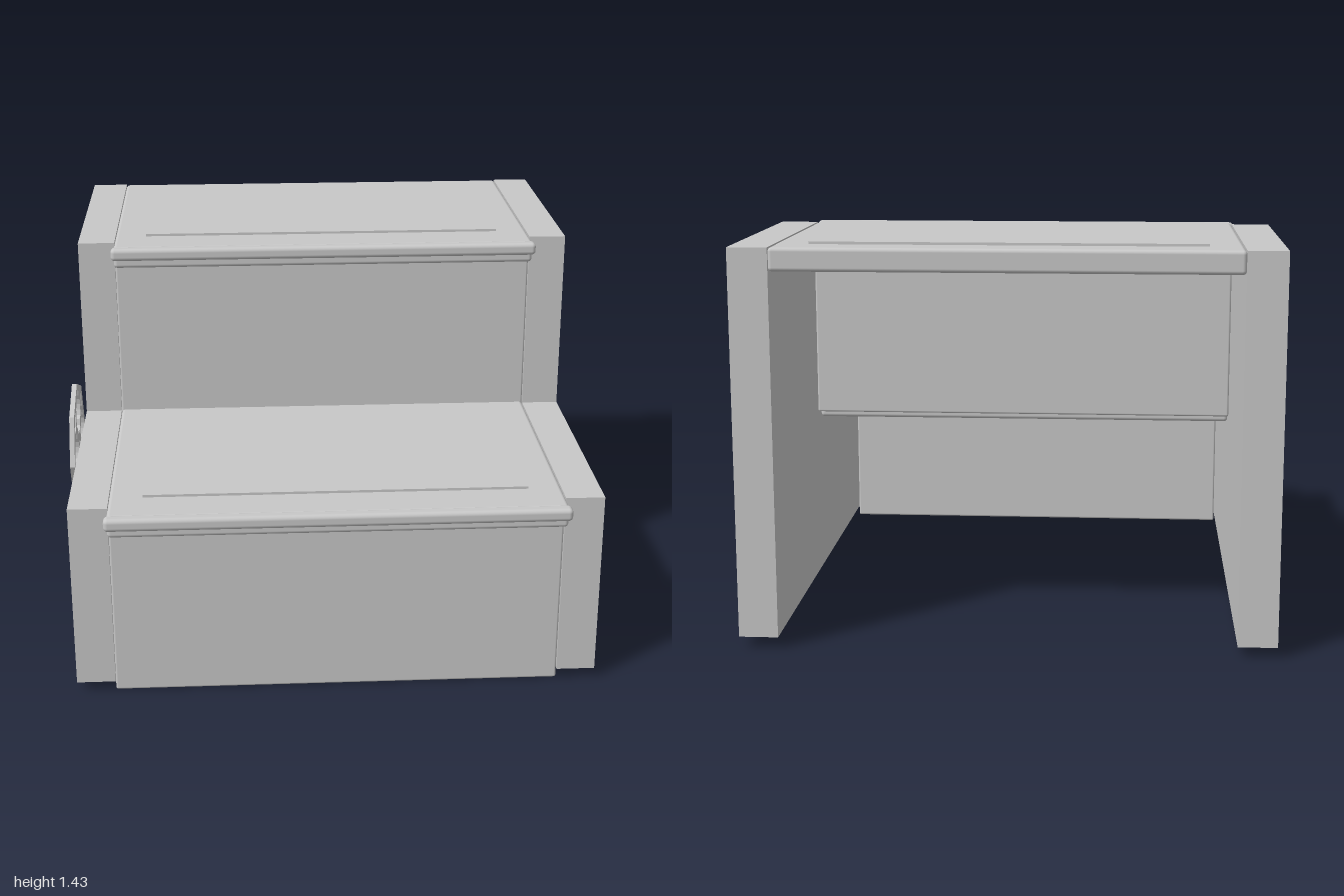
import * as THREE from 'three';
import { RoundedBoxGeometry } from 'three/addons/geometries/RoundedBoxGeometry.js';

const grey = new THREE.MeshStandardMaterial({ color: 0xc8c8c8 });
grey.name = 'plainGrey';

function add(group, name, geometry, x = 0, y = 0, z = 0) {
  const mesh = new THREE.Mesh(geometry, grey);
  mesh.name = name;
  mesh.position.set(x, y, z);
  group.add(mesh);
  return mesh;
}

// Board across the stair, given by its y and z ranges, with optional rounded edges
function board(group, name, width, y0, y1, z0, z1, radius = 0) {
  const h = y1 - y0, d = z1 - z0;
  const geometry = radius
    ? new RoundedBoxGeometry(width, h, d, 3, radius)
    : new THREE.BoxGeometry(width, h, d);
  return add(group, name, geometry, 0, (y0 + y1) / 2, (z0 + z1) / 2);
}

// Octagonal tracery rosette: four cusped lobes, corner kites and a centre square
function rosetteGeometry(R, depth) {
  const polar = (r, a) => new THREE.Vector2(r * R * Math.cos(a), r * R * Math.sin(a));
  const outline = [];
  for (let i = 0; i < 8; i++) outline.push(polar(1, (i * Math.PI) / 4));
  const shape = new THREE.Shape(outline);
  for (let q = 0; q < 4; q++) {
    const a = (q * Math.PI) / 2;
    const centre = polar(0.53, a);
    const lobe = [];
    for (let k = 0; k < 24; k++) {
      const cusp = k % 6 === 3 ? 0.28 : 0.345;
      lobe.push(polar(cusp, a + (k * Math.PI) / 12).add(centre));
    }
    shape.holes.push(new THREE.Path(lobe));
    const d = a + Math.PI / 4;
    shape.holes.push(new THREE.Path([
      polar(0.64, d), polar(0.78, d + 0.25), polar(0.88, d), polar(0.78, d - 0.25),
    ]));
  }
  const square = [0, 1, 2, 3].map((i) => polar(0.07, Math.PI / 4 + (i * Math.PI) / 2));
  shape.holes.push(new THREE.Path(square));
  return new THREE.ExtrudeGeometry(shape, { depth, bevelEnabled: false });
}

export function createModel() {
  const model = new THREE.Group();
  model.name = 'stepStool';

  // Stair-shaped side panels, drawn in (-z, y) and turned to face +x
  const profile = new THREE.Shape([
    [-0.9, 0.04], [1, 0.04], [1, 1.425], [0.05, 1.425], [0.05, 0.73], [-0.9, 0.73],
  ].map(([u, v]) => new THREE.Vector2(u, v)));
  const panel = new THREE.ExtrudeGeometry(profile, { depth: 0.14, bevelEnabled: false });
  panel.rotateY(Math.PI / 2);
  add(model, 'leftSidePanel', panel, 0.81);
  add(model, 'rightSidePanel', panel, -0.95);

  // Two steps: riser, thick round-edged tread, nosing lip and raised pad
  const steps = [
    { name: 'lower', top: 0.73, front: 0.95, back: -0.075, riser: [0, 0.68, 0.82, 0.89] },
    { name: 'upper', top: 1.425, front: 0, back: -1, riser: [0.68, 1.375, -0.135, -0.06] },
  ];
  for (const s of steps) {
    const step = new THREE.Group();
    step.name = s.name + 'Step';
    board(step, 'riser', 1.62, ...s.riser, 0.008);
    board(step, 'tread', 1.62, s.top - 0.083, s.top, s.back, s.front + 0.02, 0.014);
    board(step, 'nosing', 1.64, s.top - 0.048, s.top, s.front, s.front + 0.05, 0.016);
    board(step, 'treadPad', 1.38, s.top - 0.005, s.top + 0.009, s.front - 0.88, s.front - 0.14);
    model.add(step);
  }

  // Rosettes: one large and one small on each side, turned half way round
  for (const [name, R, y, z] of [['large', 0.24, 0.735, -0.395], ['small', 0.19, 0.387, 0.258]]) {
    const geometry = rosetteGeometry(R, 0.018);
    add(model, name + 'LeftRosette', geometry, 0.95, y, z).rotation.y = Math.PI / 2;
    add(model, name + 'RightRosette', geometry, -0.95, y, -z - 0.1).rotation.y = -Math.PI / 2;
  }
  return model;
}
